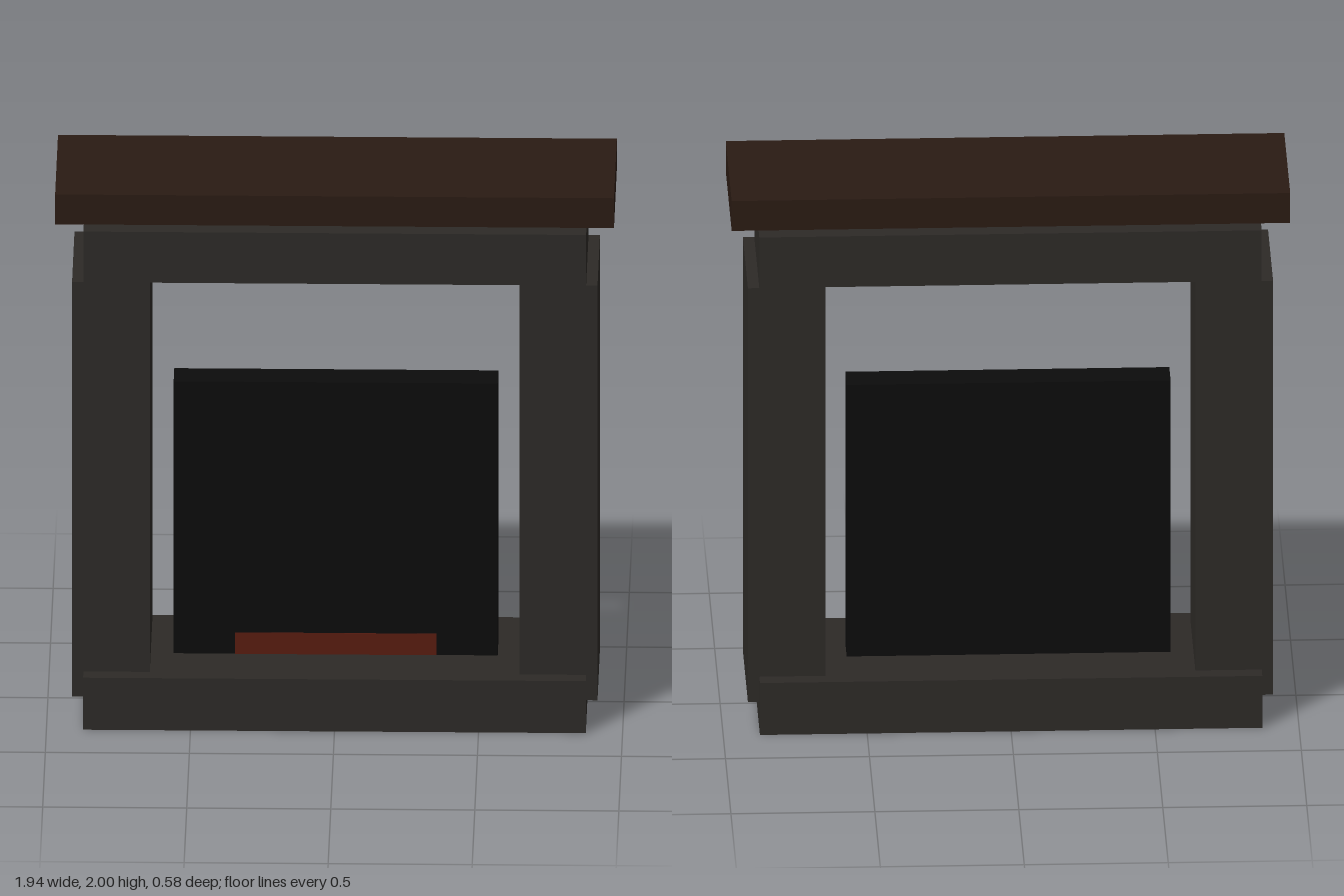
import * as THREE from 'three';

const material = (color) => new THREE.MeshStandardMaterial({ color });

// Box given by its centre x, bottom and top y, width, depth and centre z
function block(name, mat, x, y0, y1, width, depth, z = 0) {
  const mesh = new THREE.Mesh(new THREE.BoxGeometry(width, y1 - y0, depth), mat);
  mesh.name = name;
  mesh.position.set(x, (y0 + y1) / 2, z);
  return mesh;
}

export function createModel() {
  const group = new THREE.Group();
  group.name = 'fireplace';
  const stone = material(0x2d2a27);
  const wood = material(0x2a1b13);
  const soot = material(0x0c0c0c);
  const ember = material(0x581c10);

  // Stone surround: hearth slab, two pillars and lintel
  group.add(block('hearth', stone, 0, 0, 0.195, 1.745, 0.58));
  for (const [name, side] of [['leftPillar', 1], ['rightPillar', -1]]) {
    group.add(block(name, stone, side * 0.777, 0.1, 1.655, 0.27, 0.465));
  }
  group.add(block('lintel', stone, 0, 1.655, 1.845, 1.745, 0.465));

  // Wooden shelf, set slightly above the lintel
  group.add(block('mantelShelf', wood, 0, 1.888, 2, 1.94, 0.545));

  // Dark fire panel with the ember bed on its front
  group.add(block('firePanel', soot, 0, 0.15, 1.215, 1.125, 0.12));
  group.add(block('emberBed', ember, 0, 0.15, 0.275, 0.7, 0.06, 0.032));

  return group;
}
